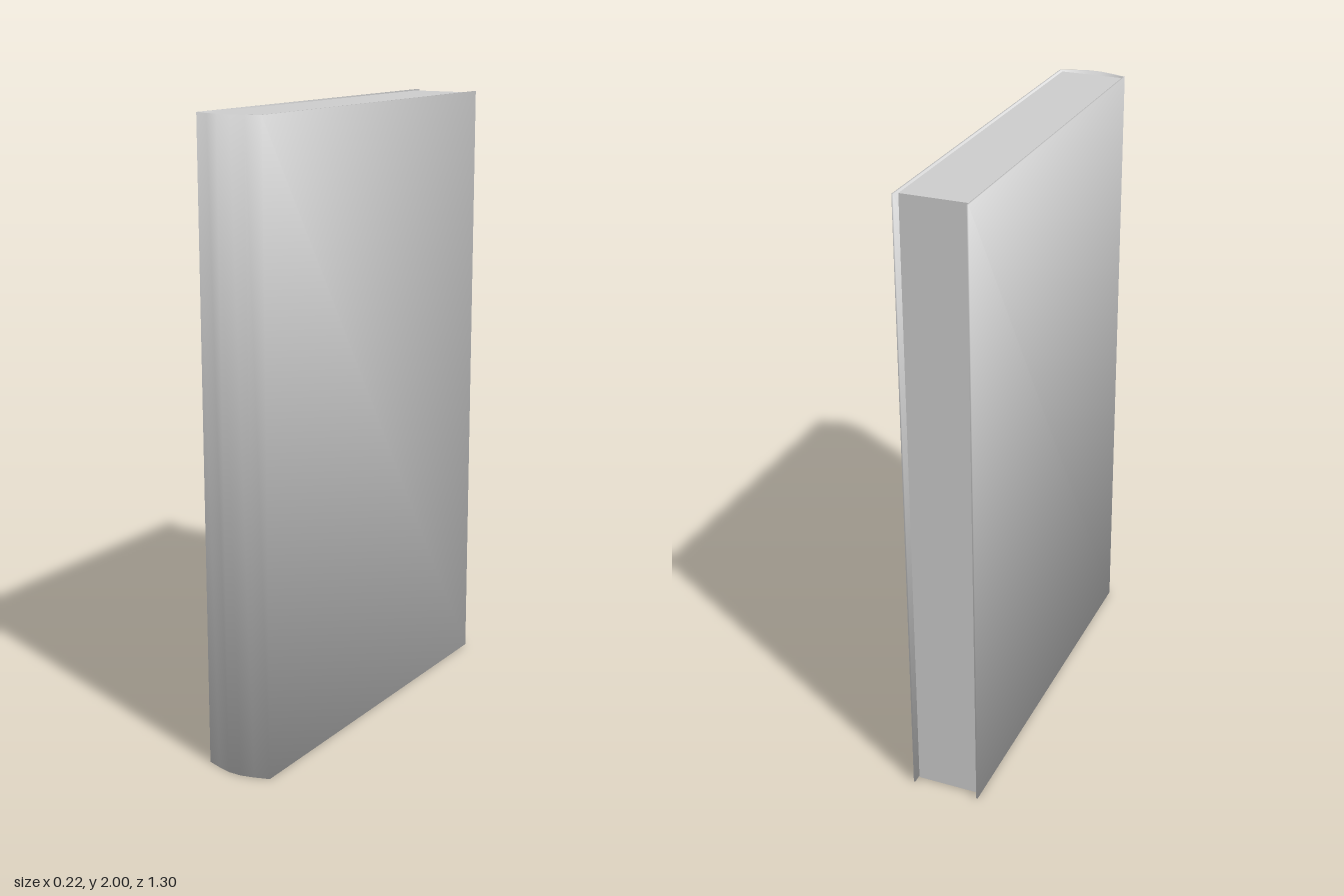
import * as THREE from 'three';
import { toCreasedNormals } from 'three/addons/utils/BufferGeometryUtils.js';

const HEIGHT = 2;
const BACK = -0.65;

// Half of the cover's cross-section as [x, z], from the open edge to the middle of the spine
const outerHalf = [[0.112, BACK], [0.112, 0.62], [0.065, 0.636], [0.022, 0.647]];
const innerHalf = [[0.107, BACK], [0.107, 0.616], [0.063, 0.631], [0.021, 0.642]];

// Mirrors a half profile into a full one running from +x to -x
function mirrored(half) {
  return [...half, ...half.map(([x, z]) => [-x, z]).reverse()];
}

export function createModel() {
  const book = new THREE.Group();
  book.name = 'book';
  const material = new THREE.MeshStandardMaterial({ color: 0xcccccc });

  // Cover: both boards and the rounded spine as one thin softly shaded shell
  const outline = [...mirrored(outerHalf), ...mirrored(innerHalf).reverse()];
  const profile = new THREE.Shape(outline.map(([x, z]) => new THREE.Vector2(x, -z)));
  const shell = new THREE.ExtrudeGeometry(profile, { depth: HEIGHT, bevelEnabled: false });
  shell.rotateX(-Math.PI / 2);
  const cover = new THREE.Mesh(toCreasedNormals(shell, 1.6), material);
  cover.name = 'cover';
  book.add(cover);

  // Page block: set in from the open edge, resting against the right board
  const pages = new THREE.Mesh(new THREE.BoxGeometry(0.21, HEIGHT - 0.008, 1.242), material);
  pages.name = 'pages';
  pages.position.set(-0.003, HEIGHT / 2, -0.007);
  book.add(pages);

  return book;
}
